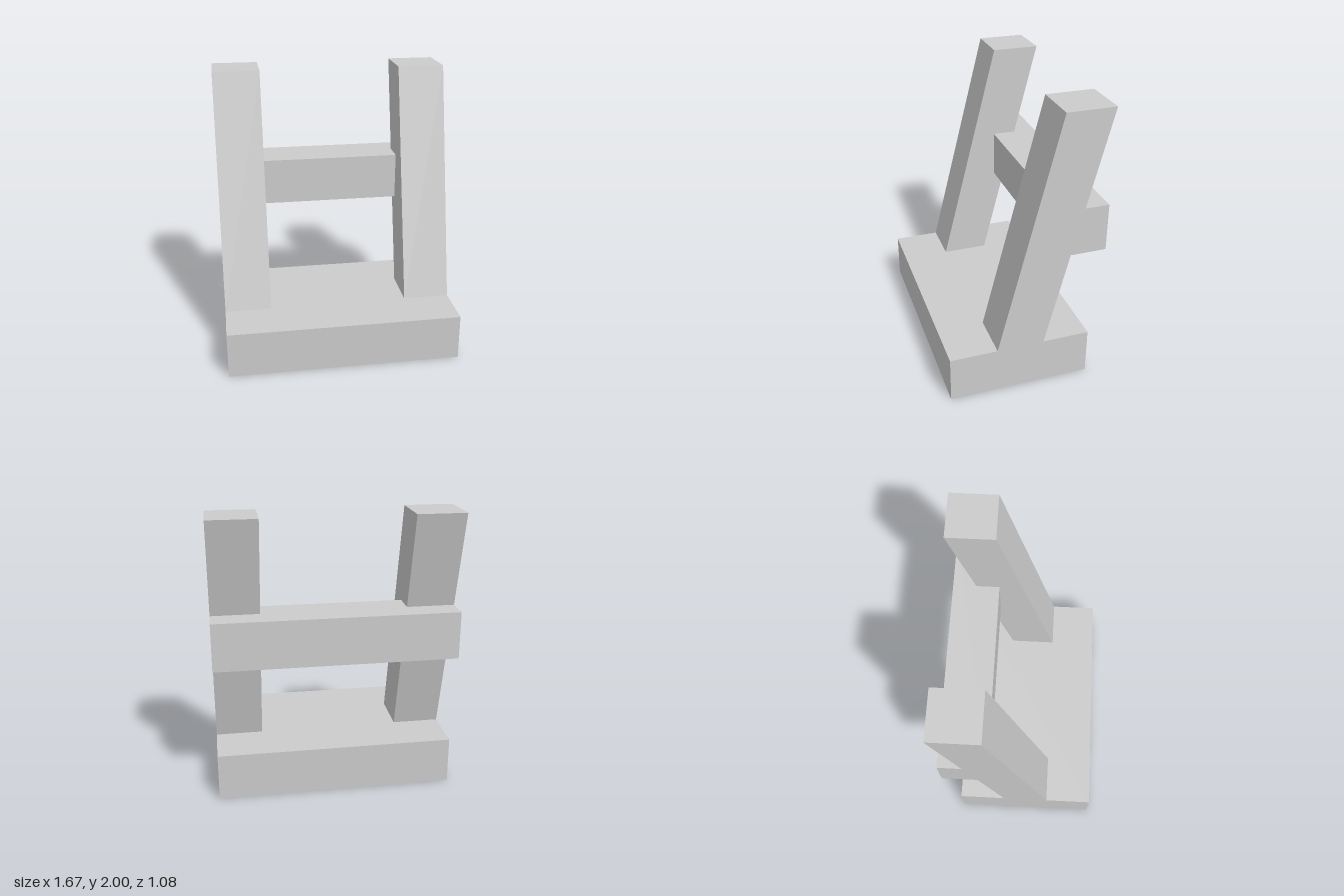
import * as THREE from 'three';

const WIDTH = 1.667;
const THICK = 0.333;

export function createModel() {
  const group = new THREE.Group();
  const material = new THREE.MeshStandardMaterial({ color: 0xcccccc, flatShading: true });

  function add(name, geometry, x, y, z) {
    const mesh = new THREE.Mesh(geometry, material);
    mesh.name = name;
    mesh.position.set(x, y, z);
    group.add(mesh);
  }

  // Flat base slab
  add('base', new THREE.BoxGeometry(WIDTH, THICK, 1), 0, THICK / 2, 0.042);

  // Rail behind the posts, flush with their outer sides
  add('crossRail', new THREE.BoxGeometry(WIDTH, THICK, THICK), 0, 1.167, -0.375);

  // Backward-leaning posts: side profile (z, y) extruded across x
  const profile = new THREE.Shape([
    new THREE.Vector2(-0.125, 0.333),
    new THREE.Vector2(0.208, 0.333),
    new THREE.Vector2(-0.208, 2),
    new THREE.Vector2(-0.542, 2),
  ]);
  const post = new THREE.ExtrudeGeometry(profile, { depth: THICK, bevelEnabled: false });
  post.translate(0, 0, -THICK / 2);
  post.rotateY(-Math.PI / 2);
  const postX = (WIDTH - THICK) / 2;
  add('leftPost', post, postX, 0, 0);
  add('rightPost', post, -postX, 0, 0);

  return group;
}
